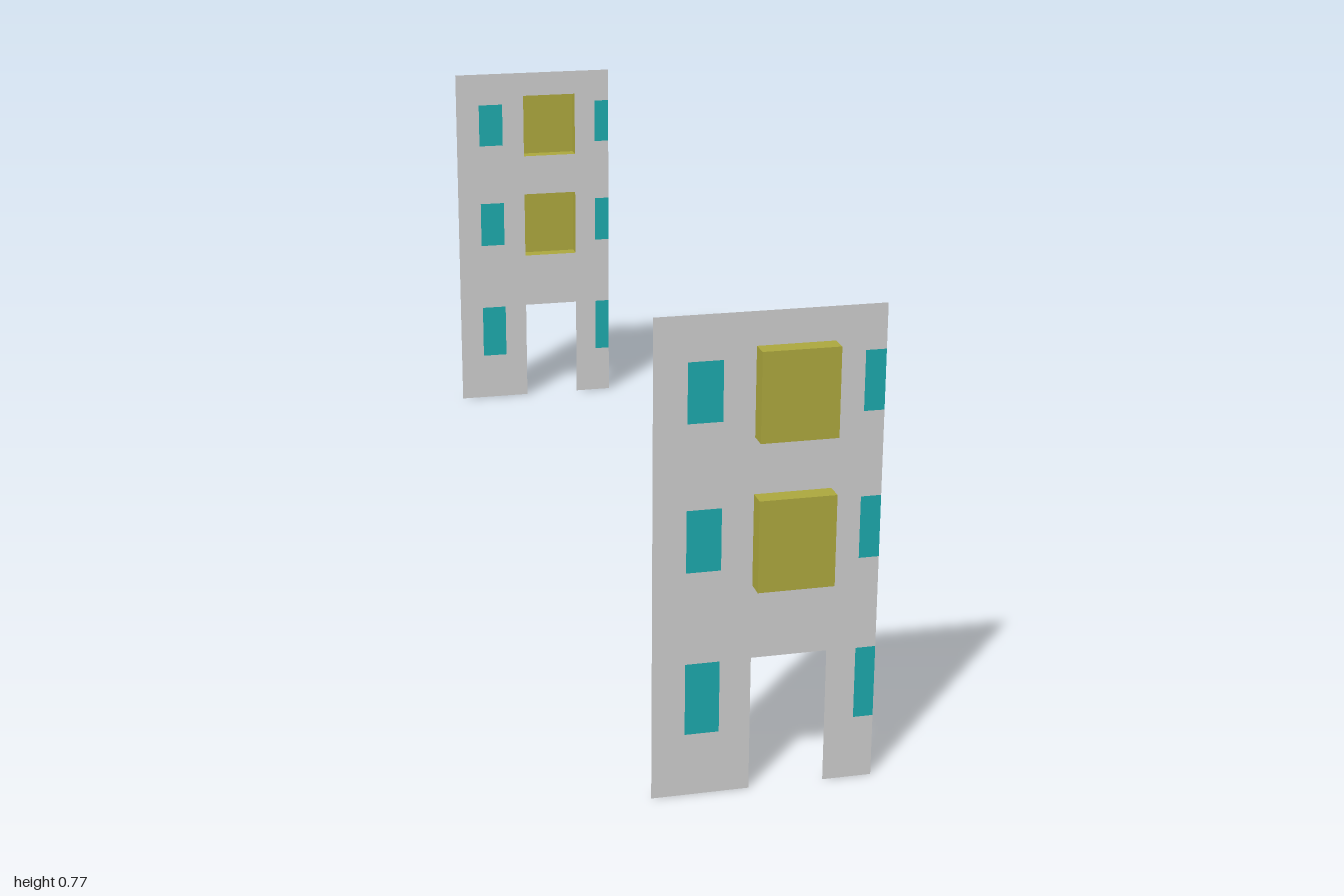
import * as THREE from 'three';

const WALL_Z = 0.97, DEPTH = 0.03;
const HALF_W = 0.177, HEIGHT = 0.773;
const DOOR = { x0: -0.022, x1: 0.098, top: 0.222 };
const PANE_ROWS = [[0.103, 0.221], [0.371, 0.471], [0.607, 0.702]];
const PANE_X = [-0.125, -0.071];
const EDGE_PANE_X = [0.145, HALF_W];
const BAY_ROWS = [[0.342, 0.489], [0.579, 0.72]];

const material = (color) =>
  new THREE.MeshStandardMaterial({ color, side: THREE.DoubleSide, flatShading: true });

function rectPath(x0, x1, y0, y1) {
  return new THREE.Path([[x0, y0], [x0, y1], [x1, y1], [x1, y0]]
    .map(([x, y]) => new THREE.Vector2(x, y)));
}

// Thin wall: doorway and edge windows cut from the outline, the rest as holes
function wallGeometry() {
  const points = [
    [-HALF_W, 0], [DOOR.x0, 0], [DOOR.x0, DOOR.top],
    [DOOR.x1, DOOR.top], [DOOR.x1, 0], [HALF_W, 0],
  ];
  for (const [y0, y1] of PANE_ROWS) {
    points.push([HALF_W, y0], [EDGE_PANE_X[0], y0], [EDGE_PANE_X[0], y1], [HALF_W, y1]);
  }
  points.push([HALF_W, HEIGHT], [-HALF_W, HEIGHT]);
  const shape = new THREE.Shape(points.map(([x, y]) => new THREE.Vector2(x, y)));
  for (const row of PANE_ROWS) shape.holes.push(rectPath(...PANE_X, ...row));
  for (const row of BAY_ROWS) shape.holes.push(rectPath(DOOR.x0, DOOR.x1, ...row));
  return new THREE.ShapeGeometry(shape);
}

// Projecting bay: a box without its inner face, open towards the inside
function bayGeometry(width, height) {
  const box = new THREE.BoxGeometry(width, height, DEPTH);
  box.setIndex(Array.from(box.index.array).slice(0, 30));
  box.clearGroups();
  return box;
}

function createFacade(name) {
  const facade = new THREE.Group();
  facade.name = name;
  const add = (part, geometry, mat, x, y, z) => {
    const mesh = new THREE.Mesh(geometry, mat);
    mesh.name = part;
    mesh.position.set(x, y, z);
    facade.add(mesh);
  };
  const glass = material(0x1ca8ab), bayPaint = material(0xaba63d);

  add('wall', wallGeometry(), material(0xcccccc), 0, 0, WALL_Z);

  // Flush window panes
  for (const [y0, y1] of PANE_ROWS) {
    for (const [x0, x1] of [PANE_X, EDGE_PANE_X]) {
      add('windowPane', new THREE.PlaneGeometry(x1 - x0, y1 - y0), glass,
        (x0 + x1) / 2, (y0 + y1) / 2, WALL_Z);
    }
  }

  // Bays above the doorway
  for (const [y0, y1] of BAY_ROWS) {
    add('bay', bayGeometry(DOOR.x1 - DOOR.x0, y1 - y0), bayPaint,
      (DOOR.x0 + DOOR.x1) / 2, (y0 + y1) / 2, WALL_Z + DEPTH / 2);
  }
  return facade;
}

export function createModel() {
  const model = new THREE.Group();
  model.name = 'facadePair';
  const front = createFacade('frontFacade');
  // The back facade mirrors the front one
  const back = createFacade('backFacade');
  back.scale.z = -1;
  model.add(front, back);
  return model;
}
